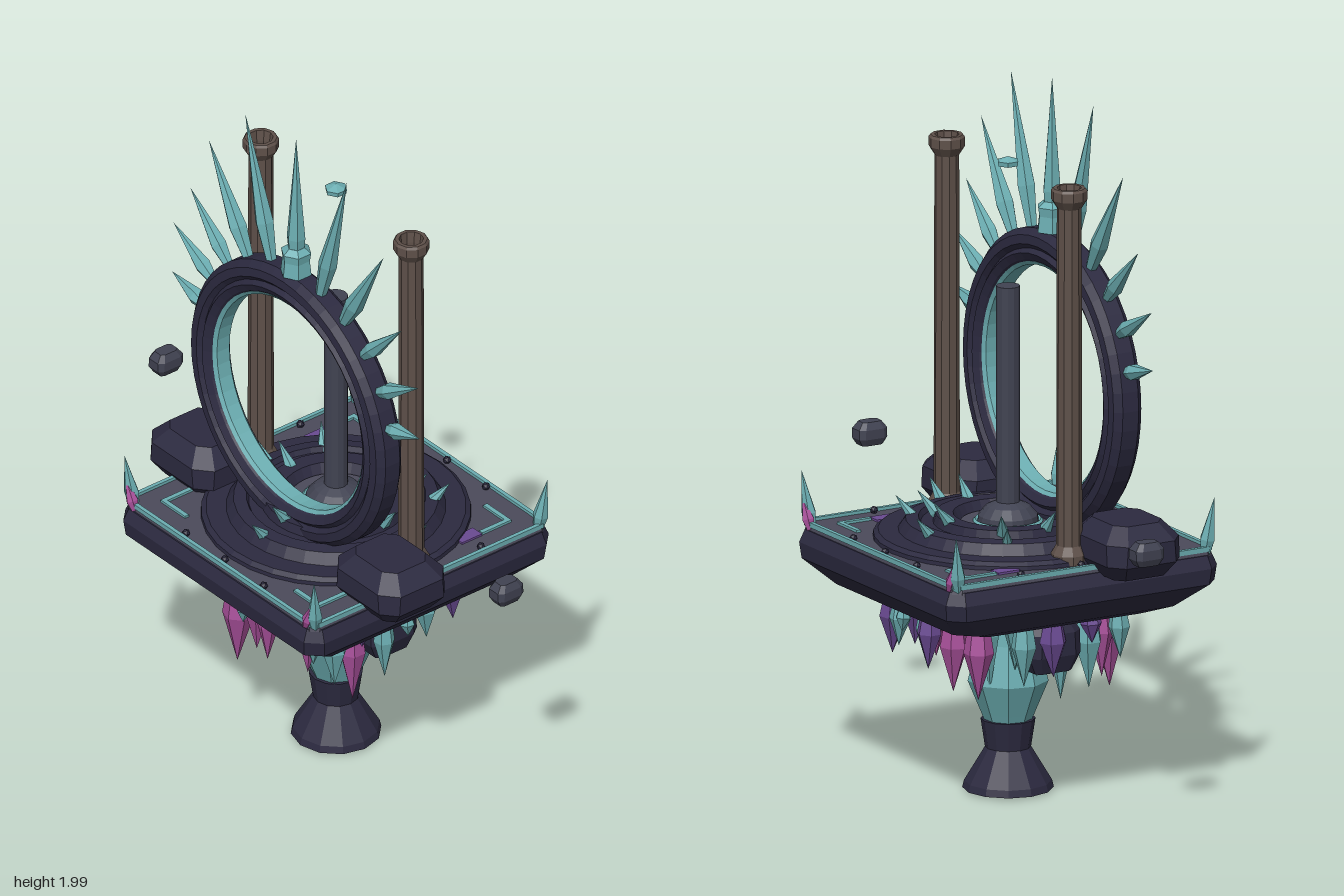
import * as THREE from 'three';

const mat = (name, color) => new THREE.MeshStandardMaterial({ name, color, flatShading: true });
const NAVY = mat('dark navy stone', 0x2c2a40);
const GREY = mat('grey slab', 0x4b4a5a);
const SLATE = mat('slate', 0x414352);
const TEAL = mat('teal crystal', 0x6caeb2);
const PINK = mat('magenta crystal', 0xa8509a);
const PURPLE = mat('purple crystal', 0x6a4a92);
const BROWN = mat('brown pillar', 0x5e5049);
const V = (x, y, z) => new THREE.Vector3(x, y, z);

export function createModel() {
  const root = new THREE.Group();
  root.name = 'crystalPortal';

  const add = (name, geo, m, x = 0, y = 0, z = 0) => {
    const mesh = new THREE.Mesh(geo, m);
    mesh.name = name;
    mesh.position.set(x, y, z);
    root.add(mesh);
    return mesh;
  };
  const lathe = (pts, n) => new THREE.LatheGeometry(pts.map(p => new THREE.Vector2(p[0], p[1])), n);
  const box = (name, m, w, h, d, x, y, z) => add(name, new THREE.BoxGeometry(w, h, d), m, x, y, z);

  // Stack of chamfered squares, each level [y, half size, chamfer]
  const loft = levels => {
    const pos = [], idx = [], n = 8;
    for (const [y, h, c] of levels) {
      const k = h - c;
      for (const [x, z] of [[h, -k], [h, k], [k, h], [-k, h], [-h, k], [-h, -k], [-k, -h], [k, -h]]) pos.push(x, y, z);
    }
    const last = (levels.length - 1) * n;
    for (let l = 0; l < last; l += n)
      for (let i = 0; i < n; i++) {
        const a = l + i, b = l + (i + 1) % n;
        idx.push(a, a + n, b, b, a + n, b + n);
      }
    for (let i = 1; i < n - 1; i++) idx.push(0, i, i + 1, last, last + i + 1, last + i);
    const g = new THREE.BufferGeometry();
    g.setAttribute('position', new THREE.Float32BufferAttribute(pos, 3));
    g.setIndex(idx);
    g.computeVertexNormals();
    return g;
  };

  // Faceted crystal from a base point to a tip, widest at the shoulder
  const crystal = (name, m, from, to, r, base = 0.6, shoulder = 0.3, sides = 6) => {
    const dir = to.clone().sub(from), len = dir.length();
    const mesh = add(name, lathe([[0, 0], [r * base, 0], [r, len * shoulder], [0, len]], sides), m, from.x, from.y, from.z);
    mesh.quaternion.setFromUnitVectors(V(0, 1, 0), dir.normalize());
    return mesh;
  };

  // Foot and crystal stem
  add('foot', lathe([[0, 0], [0.125, 0.005], [0.12, 0.025], [0.063, 0.12], [0.075, 0.2], [0, 0.2]], 12), NAVY);
  add('stem', lathe([[0.065, 0.195], [0.075, 0.22], [0.112, 0.31], [0.085, 0.42], [0.07, 0.55]], 9), TEAL);
  for (let i = 0; i < 9; i++) {
    const a = i * Math.PI * 2 / 9, c = Math.cos(a), s = Math.sin(a);
    crystal('stemShard', TEAL, V(c * 0.12, 0.53, s * 0.12), V(c * 0.1, 0.3 + (i % 3) * 0.03, s * 0.1), 0.035);
  }

  // Platform body, slab and inlaid frame
  add('platform', loft([[0.53, 0.3, 0.06], [0.555, 0.36, 0.05], [0.62, 0.425, 0.04], [0.665, 0.43, 0.04], [0.7, 0.415, 0.03]]), NAVY);
  add('slab', loft([[0.695, 0.412, 0.02], [0.714, 0.408, 0.02]]), GREY);
  for (const s of [-1, 1]) {
    box('frameBar', TEAL, 0.79, 0.014, 0.012, 0, 0.716, s * 0.406);
    box('frameBar', TEAL, 0.012, 0.014, 0.79, s * 0.406, 0.716, 0);
    for (const t of [-0.24, 0, 0.24]) {
      add('stud', new THREE.IcosahedronGeometry(0.012), NAVY, t * 0.7, 0.722, s * 0.39);
      add('stud', new THREE.IcosahedronGeometry(0.012), NAVY, s * 0.39, 0.722, t * 0.8);
    }
    for (const t of [-1, 1]) {
      box('cornerInlay', TEAL, 0.105, 0.008, 0.014, s * 0.287, 0.717, t * 0.333);
      box('cornerInlay', TEAL, 0.014, 0.008, 0.1, s * 0.333, 0.717, t * 0.288);
      // Corner shards
      crystal('cornerShard', TEAL, V(s * 0.39, 0.69, t * 0.39), V(s * 0.41, 0.86, t * 0.41), 0.022);
      crystal('cornerShard', PINK, V(s * 0.37, 0.7, t * 0.405), V(s * 0.405, 0.79, t * 0.41), 0.018);
    }
    box('purplePatch', PURPLE, 0.04, 0.006, 0.07, s * 0.322, 0.717, -0.2);
  }

  // Stepped round dais with a sunken floor
  add('dais', lathe([[0.37, 0.705], [0.368, 0.725], [0.355, 0.735], [0.3, 0.735], [0.28, 0.765], [0.245, 0.77],
    [0.238, 0.755], [0.205, 0.755], [0.198, 0.78], [0.15, 0.78], [0.135, 0.75], [0, 0.75]], 32), NAVY);
  add('daisFloor', new THREE.CylinderGeometry(0.13, 0.13, 0.008, 32), GREY, 0, 0.752, 0);
  const halo = add('floorRing', new THREE.TorusGeometry(0.09, 0.006, 4, 32), TEAL, 0, 0.758, 0);
  halo.rotation.x = Math.PI / 2;
  add('dome', lathe([[0.085, 0.75], [0.082, 0.775], [0.06, 0.8], [0.034, 0.812], [0, 0.812]], 16), SLATE);
  add('column', new THREE.CylinderGeometry(0.033, 0.033, 0.66, 12), SLATE, 0, 1.09, 0);
  add('floatingGem', lathe([[0, 1.752], [0.03, 1.76], [0.032, 1.773], [0, 1.785]], 6), TEAL);

  // Small shards growing from the dais: x, z
  for (const [x, z] of [[-0.035, -0.28], [0, -0.2], [0.13, -0.17], [0.18, -0.21], [-0.23, -0.14], [-0.17, -0.12],
    [0.21, -0.01], [0.29, -0.05], [-0.2, 0.01], [-0.27, 0.03], [0.02, 0.28], [0.01, 0.2]]) {
    const r = Math.hypot(x, z), y = r > 0.25 ? 0.73 : 0.75, k = 0.035 / r;
    crystal('daisShard', TEAL, V(x * (1 - k), y, z * (1 - k)), V(x * (1 + k), y + 0.085, z * (1 + k)), 0.018);
  }

  // Portal ring standing upright
  const cy = 1.14, cz = 0.14;
  const ring = (name, m, pts) => { add(name, lathe(pts, 48), m, 0, cy, cz).rotation.x = Math.PI / 2; };
  ring('portalRing', NAVY, [[0.33, -0.035], [0.35, -0.046], [0.362, -0.034], [0.375, -0.046], [0.4, -0.044], [0.418, -0.025],
    [0.418, 0.025], [0.4, 0.044], [0.375, 0.046], [0.362, 0.034], [0.35, 0.046], [0.33, 0.035], [0.322, 0.025], [0.322, -0.025], [0.33, -0.035]]);
  ring('portalInnerBand', TEAL, [[0.315, -0.022], [0.325, -0.03], [0.325, 0.03], [0.315, 0.022], [0.315, -0.022]]);

  // Spikes radiating from the ring: degrees above horizontal, tip radius
  for (const [deg, tip] of [[15, 0.555], [30, 0.612], [45, 0.647], [60, 0.755], [75, 0.848], [90, 0.85]])
    for (const s of deg === 90 ? [1] : [-1, 1]) {
      const a = deg * Math.PI / 180, c = s * Math.cos(a), h = Math.sin(a);
      crystal('ringSpike', TEAL, V(c * 0.405, cy + h * 0.405, cz), V(c * tip, cy + h * tip, cz), deg > 50 ? 0.027 : 0.024, 0.55, 0.28);
    }
  add('crownGem', lathe([[0, 1.545], [0.045, 1.555], [0.04, 1.6], [0.044, 1.625], [0.025, 1.64], [0, 1.64]], 6), TEAL, 0, 0, cz);

  // Hollow pillars, flanking boulders, floating stones and hanging blocks
  const rock = loft([[-0.5, 0.36, 0.1], [-0.2, 0.5, 0.16], [0.2, 0.5, 0.18], [0.5, 0.33, 0.12]]);
  for (const s of [-1, 1]) {
    add('pillar', lathe([[0.05, 0.715], [0.05, 0.74], [0.036, 0.765], [0.034, 1.715], [0.05, 1.74], [0.05, 1.765],
      [0.045, 1.772], [0.034, 1.772], [0.03, 1.74], [0.03, 0.72]], 10), BROWN, s * 0.325, 0, 0);
    add('boulder', rock, NAVY, s * 0.402, 0.765, 0.135).scale.set(0.27, 0.15, 0.23);
    add('floatingStone', rock, SLATE, s * 0.735, 0.835, 0).scale.set(0.06, 0.066, 0.088);
    add('hangingBlock', rock, NAVY, s * 0.21, 0.465, 0).scale.set(0.12, 0.16, 0.16);
  }

  // Crystals hanging under the platform: x, z, tip height, radius
  const hanging = [
    [PINK, [[-0.11, 0.25, 0.28, 0.045], [-0.04, 0.24, 0.35, 0.035], [0.09, 0.17, 0.31, 0.04], [0.23, 0.13, 0.28, 0.038],
      [-0.17, 0.19, 0.33, 0.035], [0.03, 0.26, 0.36, 0.03], [-0.18, -0.2, 0.32, 0.042], [-0.1, -0.23, 0.33, 0.04], [0.14, -0.14, 0.36, 0.035]]],
    [TEAL, [[-0.22, 0.12, 0.32, 0.04], [-0.19, 0.05, 0.29, 0.035], [0.15, 0.2, 0.38, 0.04], [0.24, 0.2, 0.36, 0.035],
      [0.28, 0.06, 0.35, 0.03], [0.2, 0.1, 0.38, 0.035], [-0.25, 0.2, 0.4, 0.03], [0.26, -0.1, 0.4, 0.032], [0.05, -0.22, 0.36, 0.035],
      [-0.25, -0.1, 0.36, 0.035], [0.1, -0.28, 0.42, 0.03], [0.33, 0.02, 0.49, 0.022], [0, 0.32, 0.49, 0.022], [0, -0.33, 0.49, 0.022]]],
    [PURPLE, [[0.2, -0.24, 0.37, 0.04], [0.15, -0.2, 0.4, 0.035], [-0.27, -0.02, 0.38, 0.038], [-0.02, -0.26, 0.38, 0.035],
      [-0.27, 0.1, 0.46, 0.03], [0.27, 0.13, 0.47, 0.028]]],
  ];
  for (const [m, list] of hanging)
    for (const [x, z, tip, r] of list)
      crystal('hangingCrystal', m, V(x, 0.56, z), V(x * 1.02, tip, z * 1.02), r, 0.6, 0.45);

  return root;
}
